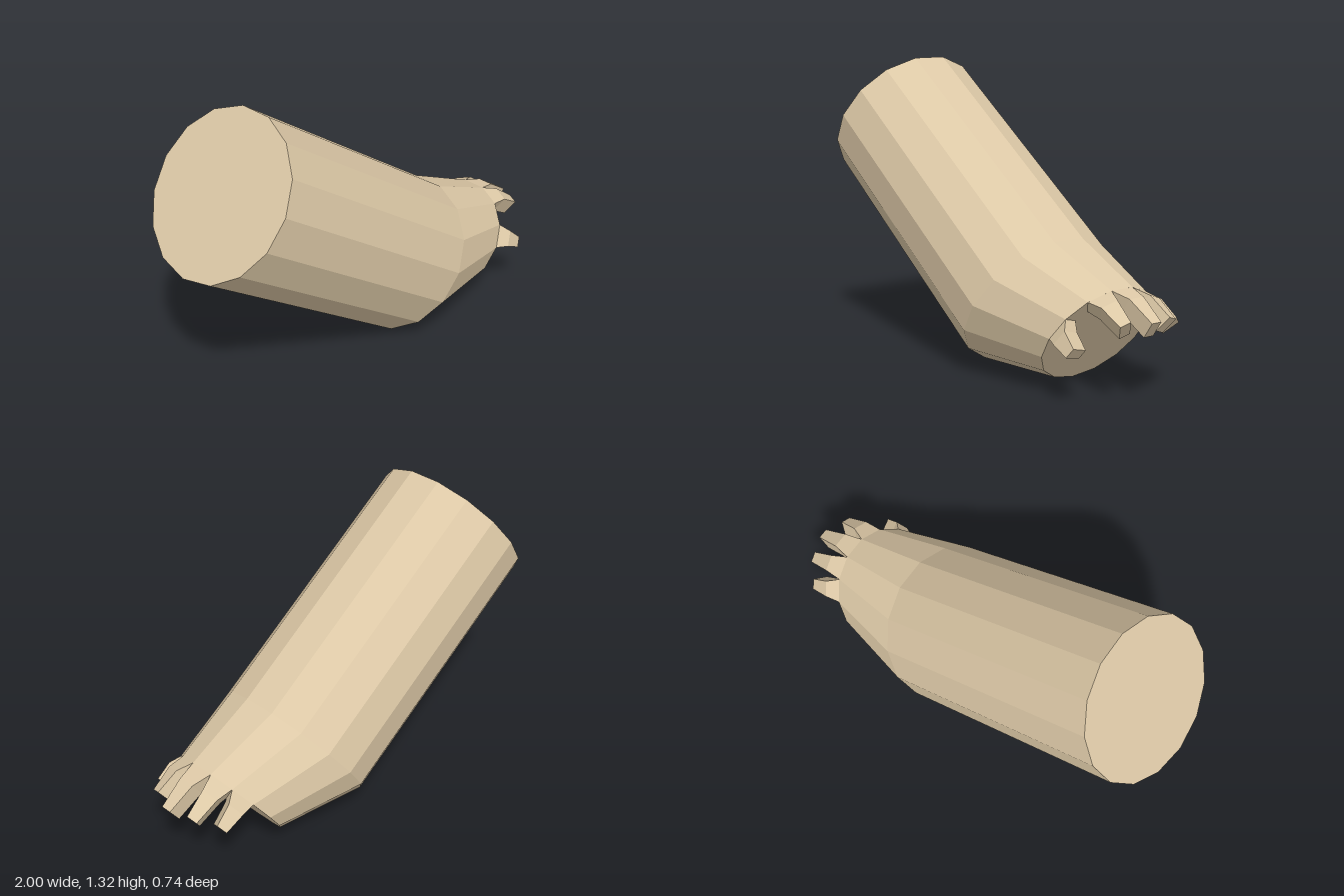
import * as THREE from 'three';

const SIDES = 15;
const material = new THREE.MeshStandardMaterial({ color: 0xdcc8a6, flatShading: true });

// Forearm tube and tapered palm; local y runs along the limb, -z is its upper side
function limbGeometry() {
  const profile = [[0, -1.265], [0.37, -1.265], [0.37, 0], [0.27, 0.362], [0, 0.362]];
  const geometry = new THREE.LatheGeometry(profile.map(([r, y]) => new THREE.Vector2(r, y)), SIDES);
  const p = geometry.attributes.position;
  // The end of the palm is offset towards the upper side
  for (let i = 0; i < p.count; i++) {
    if (p.getY(i) > 0.3) p.setZ(i, p.getZ(i) - 0.169);
  }
  geometry.computeVertexNormals();
  return geometry;
}

// Two-segment finger: a box tapered through base, knuckle and tip sections
function fingerGeometry(length) {
  const halfWidth = [0.056, 0.038, 0.025];
  const along = [0, 0.37, 1];
  const outer = [0.264, 0.297, 0.3];
  const inner = [0.2, 0.215, 0.22];
  const geometry = new THREE.BoxGeometry(1, 1, 1, 1, 2, 1);
  const p = geometry.attributes.position;
  for (let i = 0; i < p.count; i++) {
    const k = Math.round((p.getY(i) + 0.5) * 2);
    p.setXYZ(i,
      Math.sign(p.getX(i)) * halfWidth[k],
      along[k] * length,
      p.getZ(i) > 0 ? -inner[k] : -outer[k]);
  }
  geometry.computeVertexNormals();
  return geometry;
}

export function createModel() {
  const model = new THREE.Group();
  model.name = 'arm';

  const limb = new THREE.Group();
  limb.name = 'limb';
  const axis = new THREE.Vector3(0.822, -0.569, 0).normalize();
  const down = new THREE.Vector3(-0.569, -0.822, 0).normalize();
  const side = new THREE.Vector3().crossVectors(axis, down);
  limb.quaternion.setFromRotationMatrix(new THREE.Matrix4().makeBasis(side, axis, down));
  limb.position.set(0.25, 0.309, 0);
  model.add(limb);

  const forearm = new THREE.Mesh(limbGeometry(), material);
  forearm.name = 'forearmAndPalm';
  limb.add(forearm);

  // Fingers sit on the edges of the palm rim, with a gap before the thumb
  const step = (2 * Math.PI) / SIDES;
  const fingers = [
    ['littleFinger', -2, 0.16],
    ['ringFinger', -1, 0.2],
    ['middleFinger', 0, 0.2255],
    ['indexFinger', 1, 0.187],
    ['thumb', 3, 0.137],
  ];
  for (const [name, slot, length] of fingers) {
    const finger = new THREE.Mesh(fingerGeometry(length), material);
    finger.name = name;
    finger.position.set(0, 0.362, -0.169);
    finger.rotation.y = slot * step;
    limb.add(finger);
  }
  return model;
}
